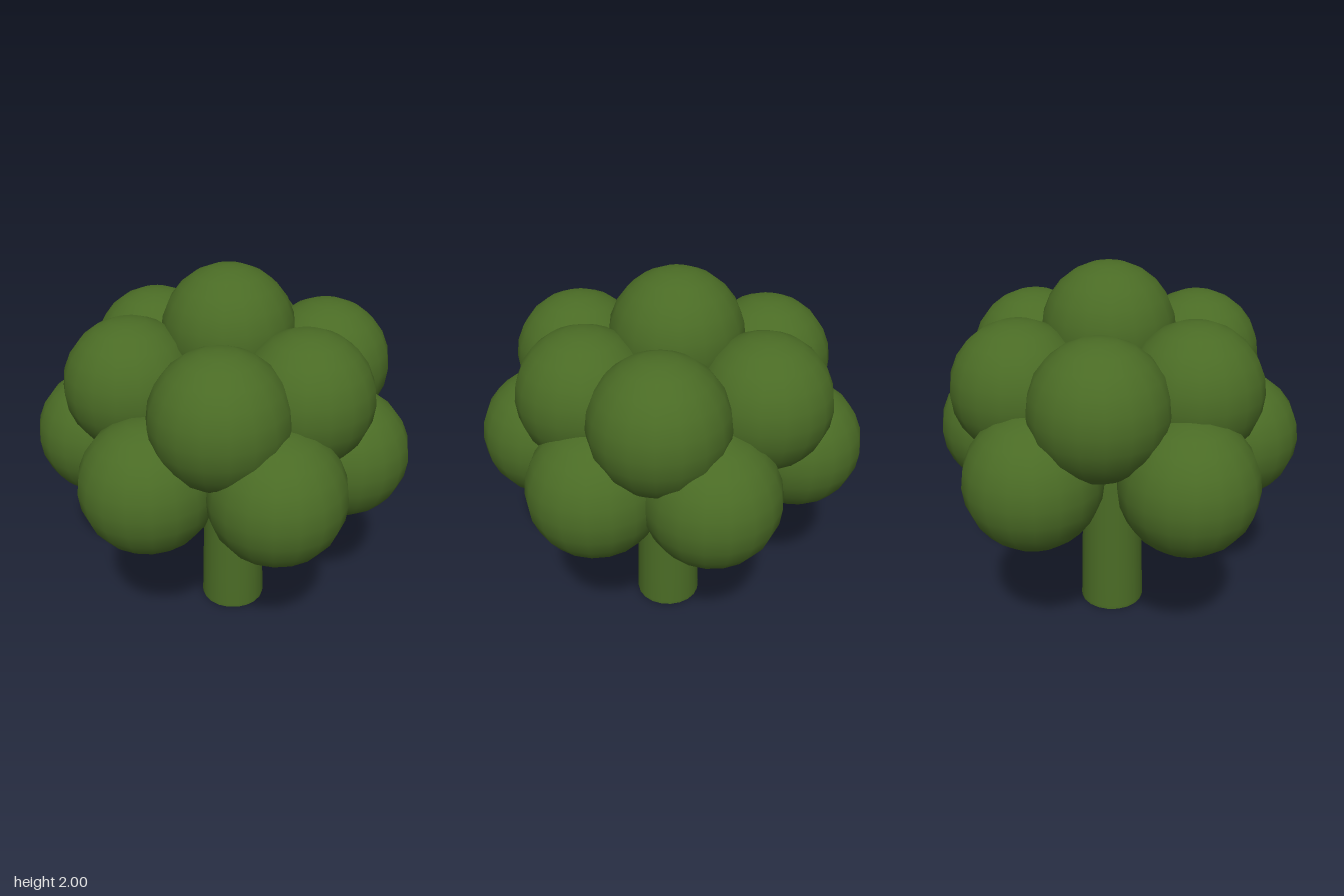
import * as THREE from 'three';

export function createModel() {
  const tree = new THREE.Group();
  tree.name = 'tree';
  const green = new THREE.MeshStandardMaterial({ color: 0x4a6b25 });
  green.name = 'leaf green';

  const add = (geometry, name) => {
    const mesh = new THREE.Mesh(geometry, green);
    mesh.name = name;
    tree.add(mesh);
    return mesh;
  };

  // Trunk: gently tapered, leaning slightly, with a rounded top and a flat base
  const profile = [
    [0.18, 0], [0.182, 0.02], [0.177, 0.2], [0.17, 0.5], [0.165, 0.75],
    [0.16, 0.95], [0.13, 1.02], [0.07, 1.06], [0, 1.07],
  ].map(([r, y]) => new THREE.Vector2(r, y));
  add(new THREE.LatheGeometry(profile, 20), 'trunk').position.set(0.022, 0, 0.015);
  const base = add(new THREE.CircleGeometry(0.18, 20), 'trunkBase');
  base.rotation.x = Math.PI / 2;
  base.position.set(0.022, 0, 0.015);

  // Foliage balls: one crown, a middle ring and a lower ring
  const crown = [[0.03, 1.652, -0.03]];
  const middle = [
    [0.06, 1.43, 0.475], [0.48, 1.43, 0.25], [0.44, 1.415, -0.32],
    [0, 1.415, -0.565], [-0.43, 1.425, -0.27], [-0.405, 1.43, 0.345],
  ];
  const lower = [
    [-0.275, 1.07, 0.6], [0.325, 1.05, 0.53], [0.63, 1.06, 0.04],
    [0.32, 1.05, -0.605], [-0.43, 1.05, -0.56], [-0.635, 1.06, 0.075],
  ];
  const ball = new THREE.SphereGeometry(0.348, 18, 12);
  const rings = { crownBall: crown, middleBall: middle, lowerBall: lower };
  for (const [name, centres] of Object.entries(rings)) {
    centres.forEach((c, i) => {
      const mesh = add(ball, name + (i + 1));
      mesh.position.set(...c);
      mesh.rotation.y = i * 1.3;
    });
  }

  // Branches: curved limbs from the trunk into each lower ball
  lower.forEach(([x, y, z], i) => {
    const at = (t, h) => new THREE.Vector3(0.022 + (x - 0.022) * t, h, 0.015 + (z - 0.015) * t);
    const path = new THREE.CatmullRomCurve3([at(0.15, 0.86), at(0.45, 0.86), at(0.75, 0.92), at(1, y)]);
    add(new THREE.TubeGeometry(path, 10, 0.072, 8), 'branch' + (i + 1));
  });

  return tree;
}
